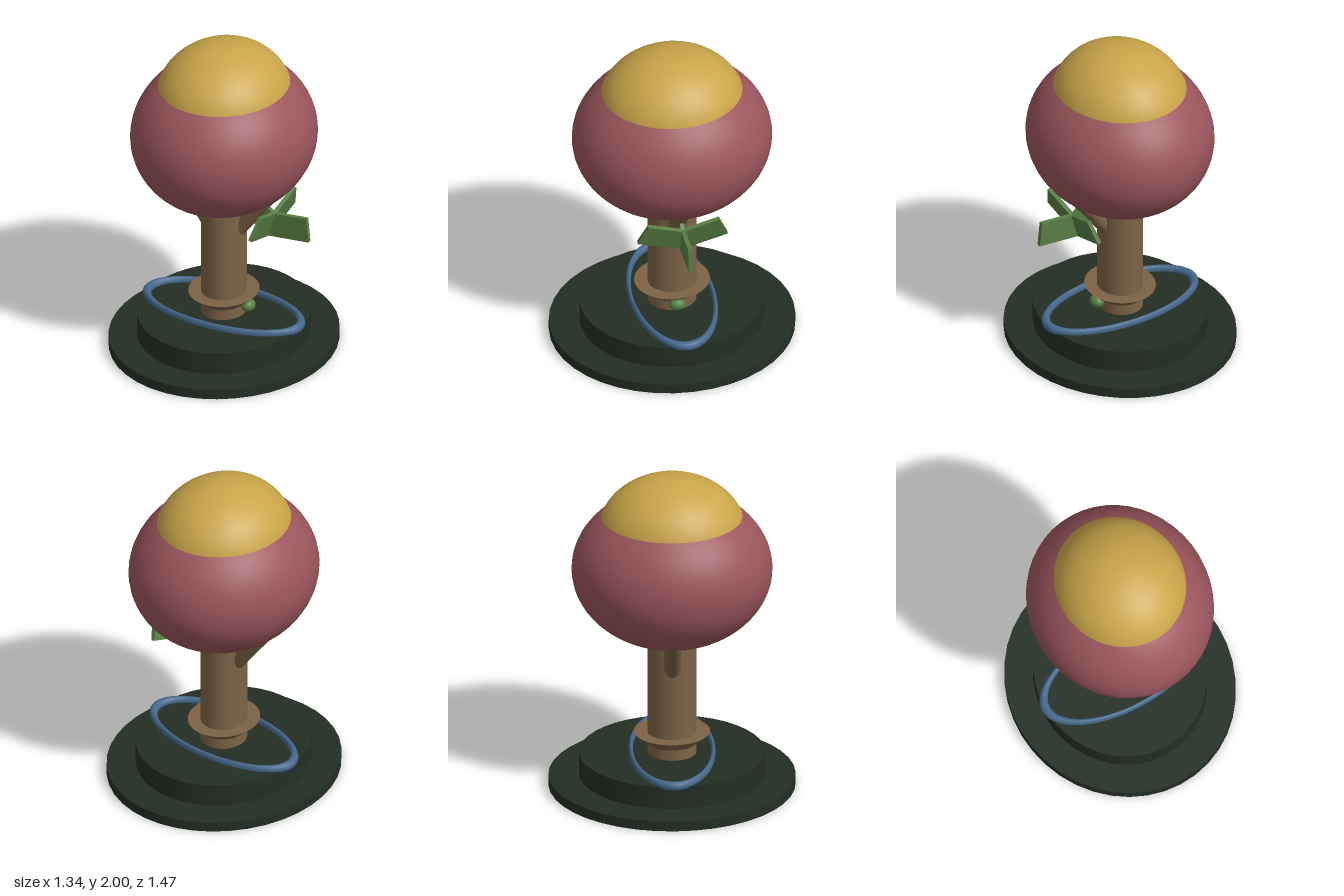
import * as THREE from 'three';

const mat = (name, color) => {
  const m = new THREE.MeshStandardMaterial({ color });
  m.name = name;
  return m;
};

export function createModel() {
  const group = new THREE.Group();
  const darkGreen = mat('dark green', 0x232e24);
  const brown = mat('brown', 0x7d6346);
  const rose = mat('rose', 0x9a555c);
  const gold = mat('gold', 0xc9a54a);
  const blue = mat('blue', 0x45688c);
  const leafGreen = mat('leaf green', 0x587f44);

  const add = (name, geometry, material, parent = group) => {
    const mesh = new THREE.Mesh(geometry, material);
    mesh.name = name;
    parent.add(mesh);
    return mesh;
  };

  // Round parts are slightly narrower in x than in z
  const SQUASH = 0.915;
  const disc = (name, rTop, rBottom, y0, y1, material) => {
    const g = new THREE.CylinderGeometry(rTop, rBottom, y1 - y0, 40);
    g.scale(SQUASH, 1, 1).translate(0, (y0 + y1) / 2, 0);
    return add(name, g, material);
  };
  const ellipsoid = (name, rx, ry, rz, x, y, material) => {
    const g = new THREE.SphereGeometry(1, 48, 32);
    g.scale(rx, ry, rz);
    const mesh = add(name, g, material);
    mesh.position.set(x, y, 0);
    return mesh;
  };

  // Stepped base
  disc('basePlate', 0.733, 0.733, 0, 0.063, darkGreen);
  disc('baseStep', 0.551, 0.551, 0.069, 0.21, darkGreen);

  // Trunk with flared collar
  disc('trunk', 0.146, 0.146, 0.2, 1.02, brown);
  disc('collar', 0.226, 0.148, 0.278, 0.345, brown);

  // Oval ring lying on the base
  const ring = new THREE.TorusGeometry(0.502, 0.028, 14, 64);
  ring.rotateX(Math.PI / 2).scale(1, 1, 0.487);
  add('ring', ring, blue).position.y = 0.217;

  // Crown and cap
  ellipsoid('crown', 0.545, 0.48, 0.596, 0, 1.41, rose);
  ellipsoid('crownCap', 0.402, 0.353, 0.439, 0, 1.647, gold);

  // Mirrored branches leaning out into the crown
  for (const side of [-1, 1]) {
    const a = new THREE.Vector3(side * 0.05, 0.727, 0);
    const b = new THREE.Vector3(side * 0.36, 1.14, 0);
    const dir = b.clone().sub(a);
    const branch = add('branch', new THREE.CylinderGeometry(0.052, 0.052, dir.length(), 24), brown);
    branch.position.copy(a).add(b).multiplyScalar(0.5);
    branch.quaternion.setFromUnitVectors(new THREE.Vector3(0, 1, 0), dir.normalize());
  }

  // Small bud at the foot of the trunk
  ellipsoid('bud', 0.04, 0.038, 0.049, 0.165, 0.277, leafGreen);

  // Four upright leaf blades crossing at the branch
  const outline = new THREE.Shape([[0, 0], [0.272, 0.1], [0.214, 0.245], [0, 0.166]]
    .map(([x, y]) => new THREE.Vector2(x, y)));
  const blade = new THREE.ExtrudeGeometry(outline, { depth: 0.026, bevelEnabled: false });
  blade.translate(0, 0, -0.013);
  const sprout = new THREE.Group();
  sprout.name = 'sprout';
  for (let i = 0; i < 4; i++) {
    add('leafBlade', blade, leafGreen, sprout).rotation.y = i * Math.PI / 2;
  }
  sprout.position.set(0.295, 0.795, 0);
  sprout.rotation.z = -0.27;
  sprout.scale.x = 0.97;
  group.add(sprout);

  return group;
}
